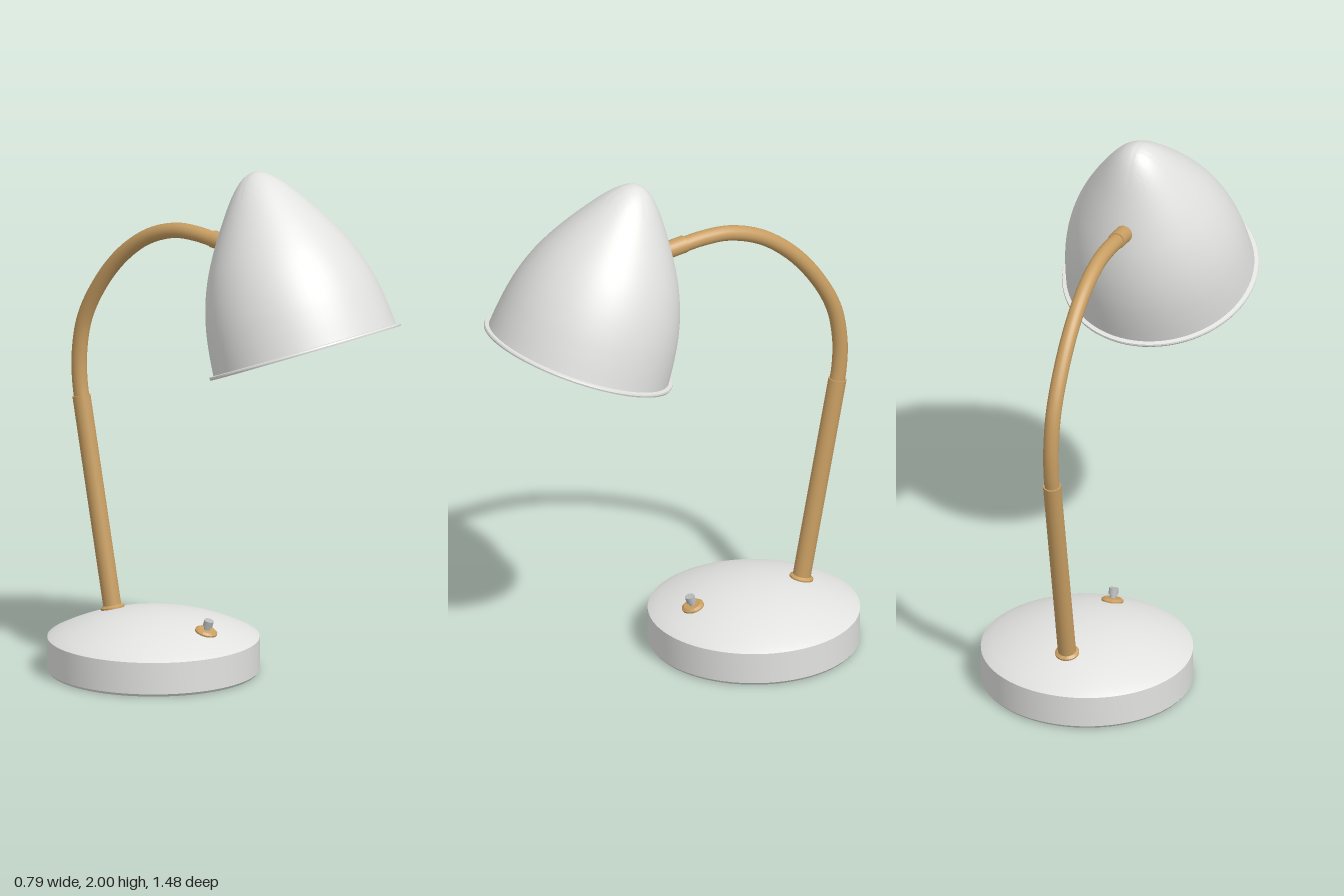
import * as THREE from 'three';
import { toCreasedNormals } from 'three/addons/utils/BufferGeometryUtils.js';

const paint = new THREE.MeshStandardMaterial({ name: 'light grey paint', color: 0xe2e2e0 });
const tan = new THREE.MeshStandardMaterial({ name: 'tan brass', color: 0xc89e62 });
const steel = new THREE.MeshStandardMaterial({ name: 'switch steel', color: 0xb8babc });

const v2 = (p) => new THREE.Vector2(p[0], p[1]);
const v3 = (y, z) => new THREE.Vector3(0, y, z);

function addMesh(parent, name, geometry, material) {
  const mesh = new THREE.Mesh(geometry, material);
  mesh.name = name;
  parent.add(mesh);
  return mesh;
}

// Turned part from [radius, height] points, keeping hard corners sharp
function turned(points, segments) {
  return toCreasedNormals(new THREE.LatheGeometry(points.map(v2), segments), 0.5);
}

// Straight round bar between two points in the x = 0 plane
function rod(parent, name, a, b, radius, material) {
  const mesh = addMesh(parent, name, new THREE.CylinderGeometry(radius, radius, a.distanceTo(b), 24), material);
  mesh.position.copy(a).lerp(b, 0.5);
  mesh.quaternion.setFromUnitVectors(new THREE.Vector3(0, 1, 0), b.clone().sub(a).normalize());
  return mesh;
}

export function createModel() {
  const lamp = new THREE.Group();
  lamp.name = 'deskLamp';

  // Weighted base: bevelled drum under a shallow spherical dome
  const baseZ = -0.346, domeR = 0.848;
  const domeY = (r) => 0.23 - domeR + Math.sqrt(domeR * domeR - r * r);
  const baseProfile = [[0, 0], [0.388, 0], [0.396, 0.01], [0.396, 0.131]];
  for (let i = 0; i <= 12; i++) {
    const r = 0.391 * (1 - i / 12);
    baseProfile.push([r, domeY(r)]);
  }
  addMesh(lamp, 'base', turned(baseProfile, 72), paint).position.z = baseZ;

  // Collars seated square to the dome
  function collar(name, z, radius) {
    const group = new THREE.Group();
    const d = z - baseZ;
    group.name = name;
    group.position.set(0, domeY(Math.abs(d)), z);
    group.rotation.x = Math.asin(d / domeR);
    addMesh(group, name + 'Ring', turned([[0, -0.01], [radius, -0.01], [radius, 0.005], [radius - 0.01, 0.012], [0, 0.012]], 32), tan);
    lamp.add(group);
    return group;
  }
  collar('armCollar', -0.545, 0.045);
  const toggle = collar('switchCollar', -0.09, 0.042);
  addMesh(toggle, 'switchStem', new THREE.CylinderGeometry(0.012, 0.012, 0.03, 16), steel).position.y = 0.02;
  addMesh(toggle, 'switchKnob', new THREE.CylinderGeometry(0.018, 0.018, 0.024, 20), steel).position.y = 0.037;

  // Arm: straight sleeve, bent tube and end ferrule
  rod(lamp, 'lowerArm', v3(0.19, -0.542), v3(1.0, -0.697), 0.034, tan);
  const bend = new THREE.CatmullRomCurve3([
    v3(0.96, -0.689), v3(1.05, -0.704), v3(1.16, -0.707), v3(1.3, -0.682), v3(1.44, -0.61),
    v3(1.57, -0.503), v3(1.665, -0.375), v3(1.712, -0.24), v3(1.716, -0.13), v3(1.705, -0.03),
  ]);
  addMesh(lamp, 'upperArm', new THREE.TubeGeometry(bend, 64, 0.029, 20), tan);
  rod(lamp, 'armFerrule', v3(1.71, -0.055), v3(1.696, 0.05), 0.033, tan);

  // Shade: recessed inner reflector, flared lip and bullet-shaped shell
  const shell = new THREE.SplineCurve([
    [0.354, 0.014], [0.346, 0.1], [0.332, 0.19], [0.308, 0.28], [0.272, 0.37], [0.223, 0.46],
    [0.165, 0.55], [0.108, 0.628], [0.063, 0.675], [0.027, 0.697], [0, 0.703],
  ].map(v2)).getPoints(50).map((p) => [Math.max(p.x, 0), p.y]);
  const reflector = [];
  for (let i = 0; i <= 10; i++) {
    const r = 0.3 * i / 10;
    reflector.push([r, 0.06 + 0.045 * (1 - (r / 0.3) ** 2)]);
  }
  const lip = [[0.345, 0.003], [0.352, 0], [0.369, 0], [0.371, 0.006], [0.369, 0.012]];
  const shade = addMesh(lamp, 'shade', turned([...reflector, ...lip, ...shell], 72), paint);
  shade.position.set(0, 1.345, 0.395);
  shade.rotation.x = -0.372;

  return lamp;
}
